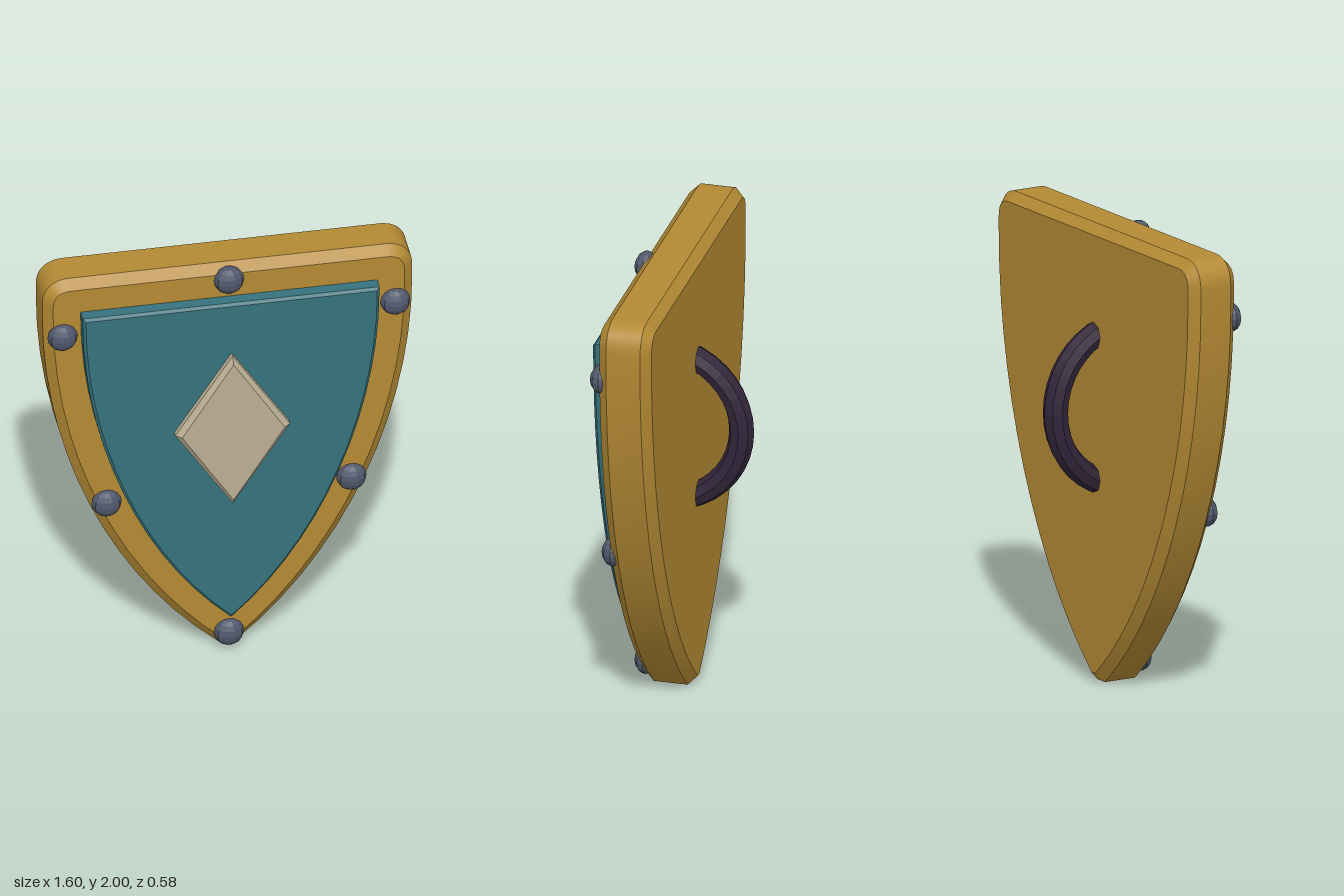
import * as THREE from 'three';
import { toCreasedNormals } from 'three/addons/utils/BufferGeometryUtils.js';

const mat = (name, color, flatShading = false) => {
  const m = new THREE.MeshStandardMaterial({ color, flatShading });
  m.name = name;
  return m;
};

// Extruded plate with a one-step chamfer, from z = back to z = front
function plate(name, shape, back, front, bevel, material) {
  const geo = new THREE.ExtrudeGeometry(shape, {
    depth: front - back - 2 * bevel,
    bevelEnabled: true, bevelThickness: bevel, bevelSize: bevel, bevelSegments: 1,
    curveSegments: 14,
  });
  geo.translate(0, 0, back + bevel);
  const mesh = new THREE.Mesh(toCreasedNormals(geo, 0.4), material);
  mesh.name = name;
  return mesh;
}

export function createModel() {
  const group = new THREE.Group();
  group.name = 'shield';
  const gold = mat('gold', 0xb48a34);
  const teal = mat('teal', 0x36737d);
  const cream = mat('cream', 0xbbaf94);
  const steel = mat('steel', 0x50586b, true);
  const leather = mat('darkLeather', 0x32253a, true);

  // Body: rounded top corners, curved sides, blunt tip
  const body = new THREE.Shape();
  body.moveTo(0.015, 0.04);
  body.bezierCurveTo(0.47, 0.43, 0.76, 1.12, 0.76, 1.82);
  body.lineTo(0.76, 1.88);
  body.quadraticCurveTo(0.76, 1.96, 0.68, 1.96);
  body.lineTo(-0.68, 1.96);
  body.quadraticCurveTo(-0.76, 1.96, -0.76, 1.88);
  body.lineTo(-0.76, 1.82);
  body.bezierCurveTo(-0.76, 1.12, -0.47, 0.43, -0.015, 0.04);
  group.add(plate('body', body, -0.045, 0.185, 0.04, gold));

  // Raised inner panel with sharp corners
  const panel = new THREE.Shape();
  panel.moveTo(0, 0.212);
  panel.bezierCurveTo(0.38, 0.56, 0.63, 1.2, 0.63, 1.833);
  panel.lineTo(-0.63, 1.833);
  panel.bezierCurveTo(-0.63, 1.2, -0.38, 0.56, 0, 0.212);
  group.add(plate('panel', panel, 0.15, 0.248, 0.012, teal));

  // Central diamond
  const diamond = new THREE.Shape([[0, 0.85], [0.222, 1.205], [0, 1.56], [-0.222, 1.205]]
    .map(([x, y]) => new THREE.Vector2(x, y)));
  group.add(plate('diamond', diamond, 0.21, 0.295, 0.022, cream));

  // Flattened rivets around the rim
  const rivetGeo = new THREE.SphereGeometry(0.065, 10, 8).scale(1, 1, 0.77);
  const spots = [[0, 1.93], [0, 0.085], [0.72, 1.725], [-0.72, 1.725], [0.53, 0.83], [-0.53, 0.83]];
  for (const [x, y] of spots) {
    const rivet = new THREE.Mesh(rivetGeo, steel);
    rivet.name = 'rivet';
    rivet.position.set(x, y, 0.185);
    group.add(rivet);
  }

  // Arched grip on the back, its ends sunk into the body
  const handle = new THREE.Mesh(new THREE.TorusGeometry(0.355, 0.055, 8, 20, Math.PI)
    .rotateZ(Math.PI / 2).rotateY(-Math.PI / 2), leather);
  handle.name = 'handle';
  handle.position.set(0, 1.205, 0.12);
  group.add(handle);

  return group;
}
